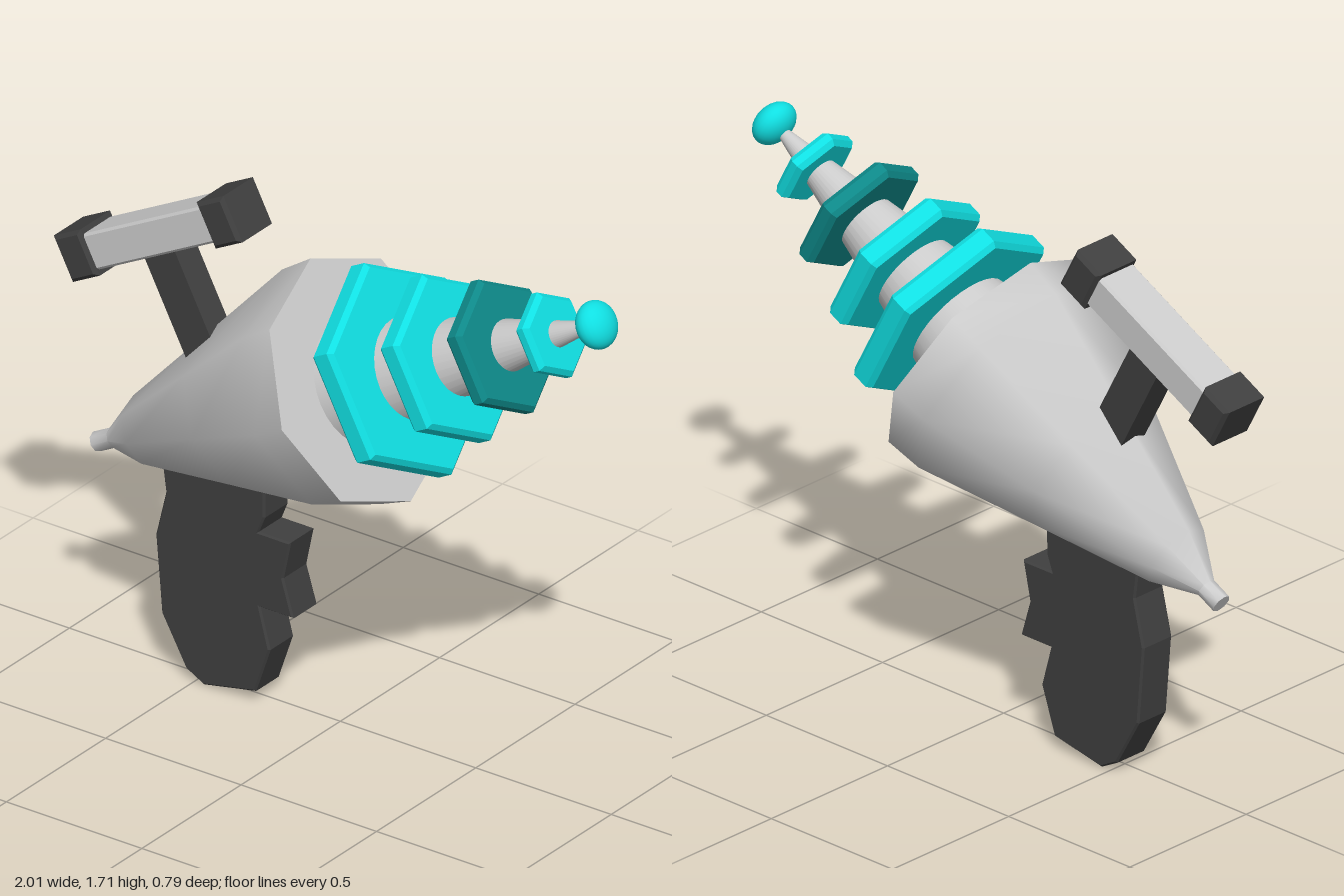
import * as THREE from 'three';
import { toCreasedNormals } from 'three/addons/utils/BufferGeometryUtils.js';

const GREY = 0xcccccc, DARK = 0x3f3f3f, CYAN = 0x10dfe2, TEAL = 0x0d8888;

function add(parent, name, geometry, color, flatShading = false) {
  const mesh = new THREE.Mesh(geometry, new THREE.MeshStandardMaterial({ color, flatShading }));
  mesh.name = name;
  parent.add(mesh);
  return mesh;
}

// Solid turned around the x axis from [position, radius] pairs.
function turned(profile, sides, phase = 0) {
  const points = profile.map(([s, r]) => new THREE.Vector2(r, s));
  return new THREE.LatheGeometry(points, sides, phase).rotateZ(-Math.PI / 2);
}

// Box with chamfered edges, centred on the origin.
function chamferBox(w, h, d, b) {
  const x = w / 2 - b, y = h / 2 - b;
  const shape = new THREE.Shape([[-x, -y], [x, -y], [x, y], [-x, y]].map(p => new THREE.Vector2(...p)));
  const geometry = new THREE.ExtrudeGeometry(shape, {
    depth: d - 2 * b, bevelSize: b, bevelThickness: b, bevelSegments: 1,
  });
  return geometry.translate(0, 0, b - d / 2);
}

export function createModel() {
  const model = new THREE.Group();

  // Everything on the firing axis; the origin is the centre of the body's front face.
  const gun = new THREE.Group();
  gun.name = 'tiltedAssembly';
  gun.position.set(0.075, 1.18, 0);
  gun.rotation.z = THREE.MathUtils.degToRad(27.8);
  model.add(gun);

  // Eight-sided tapering body with a short tail
  const body = turned([
    [-1.1, 0], [-1.1, 0.032], [-1.03, 0.032], [-0.89, 0.112], [-0.5, 0.25],
    [-0.125, 0.384], [0, 0.397], [0, 0],
  ], 8);
  add(gun, 'body', toCreasedNormals(body, 0.85), GREY);

  // Tapered barrel and flattened tip
  add(gun, 'barrel', turned([[-0.02, 0.204], [0.96, 0.015]], 32), GREY);
  const tip = add(gun, 'barrelTip', new THREE.SphereGeometry(0.075, 24, 16), CYAN);
  tip.scale.x = 0.7;
  tip.position.x = 0.985;

  // Hexagonal chamfered rings: position, radius, thickness, colour
  [
    [0.17, 0.346, 0.085, CYAN],
    [0.375, 0.271, 0.08, CYAN],
    [0.59, 0.217, 0.065, TEAL],
    [0.797, 0.138, 0.055, CYAN],
  ].forEach(([s, r, t, color], i) => {
    const h = t / 2, b = 0.016;
    const ring = turned([[-h, 0], [-h, r - b], [b - h, r], [h - b, r], [h, r - b], [h, 0]], 6, Math.PI / 2);
    add(gun, 'ring' + (i + 1), ring, color, true).position.x = s;
  });

  // Sight: post, bar and two end caps
  add(gun, 'sightPost', new THREE.BoxGeometry(0.125, 0.38, 0.1), DARK, true).position.set(-0.52, 0.36, 0);
  add(gun, 'sightBar', chamferBox(0.6, 0.118, 0.148, 0.008), GREY, true).position.set(-0.516, 0.586, 0);
  for (const side of [-1, 1]) {
    add(gun, side < 0 ? 'rearSightCap' : 'frontSightCap', chamferBox(0.112, 0.152, 0.172, 0.012), DARK, true)
      .position.set(-0.516 + side * 0.298, 0.586, 0);
  }

  // Grip with trigger, cut from one outline
  const outline = [
    [-0.62, 0.72], [-0.605, 0.61], [-0.642, 0.456], [-0.62, 0.2], [-0.53, 0.04], [-0.465, 0.005],
    [-0.273, 0.043], [-0.22, 0.198], [-0.257, 0.332], [-0.134, 0.332], [-0.171, 0.456],
    [-0.144, 0.584], [-0.262, 0.584], [-0.24, 0.638], [-0.24, 0.79],
  ].map(p => new THREE.Vector2(...p));
  const grip = new THREE.ExtrudeGeometry(new THREE.Shape(outline), {
    depth: 0.112, bevelSize: 0.006, bevelThickness: 0.007, bevelOffset: -0.006, bevelSegments: 1,
  });
  add(model, 'grip', grip.translate(0, 0, -0.062), DARK, true);

  return model;
}
